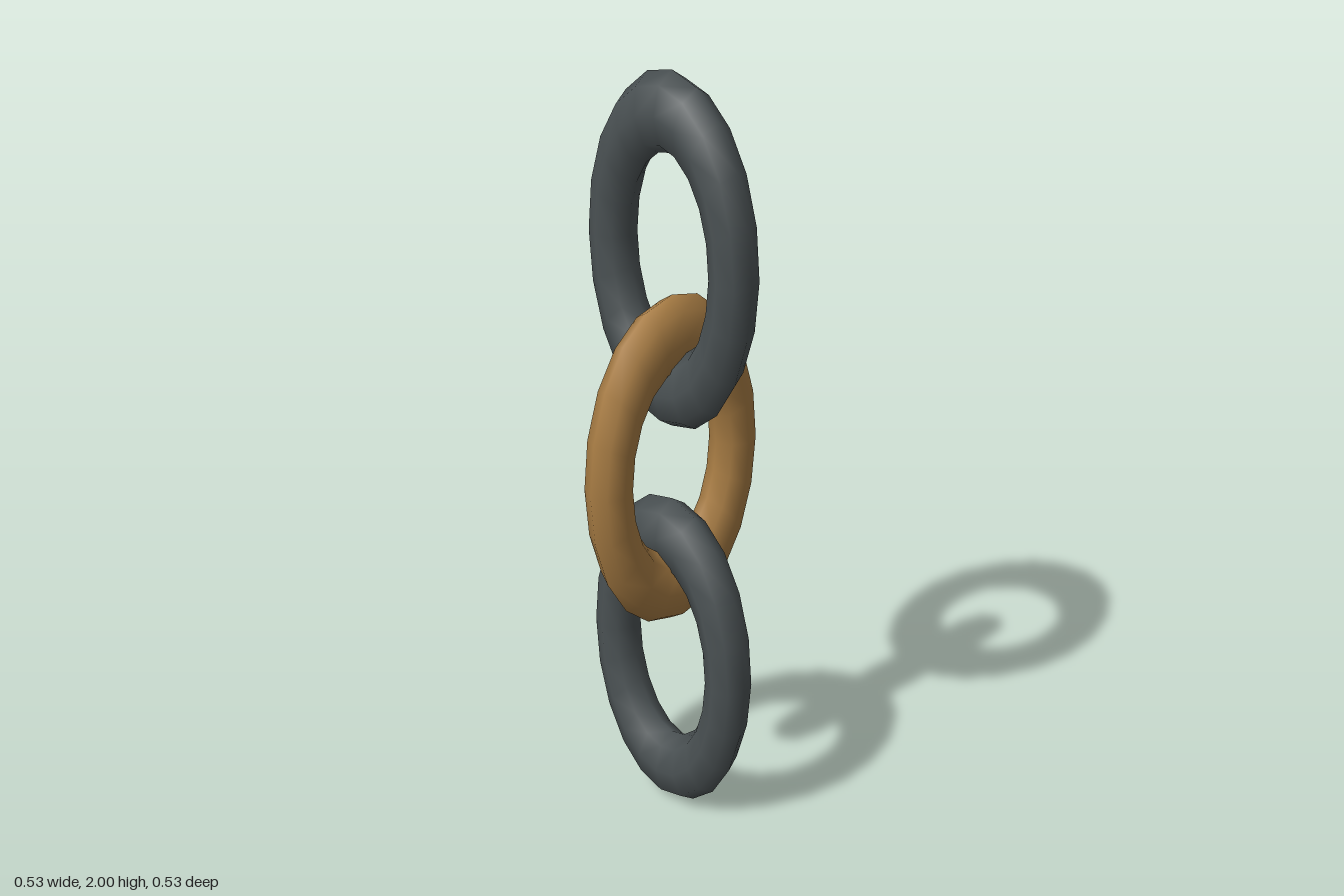
import * as THREE from 'three';

export function createModel() {
  const model = new THREE.Group();
  model.name = 'chain';

  const iron = new THREE.MeshStandardMaterial({ color: 0x4a5153 });
  iron.name = 'dark iron';
  const bronze = new THREE.MeshStandardMaterial({ color: 0xa67b43 });
  bronze.name = 'bronze';

  // One oval link: a ring stretched upwards
  const linkGeometry = new THREE.TorusGeometry(0.206, 0.058, 8, 20);
  linkGeometry.scale(1, 1.7, 1);

  function addLink(name, y, turn, material) {
    const link = new THREE.Mesh(linkGeometry, material);
    link.name = name;
    link.position.y = y;
    link.rotation.y = turn;
    model.add(link);
  }

  // Three interlocked links, the middle one turned a quarter
  addLink('lowerLink', 0.45, 0, iron);
  addLink('middleLink', 1.0, Math.PI / 2, bronze);
  addLink('upperLink', 1.55, 0, iron);

  return model;
}
